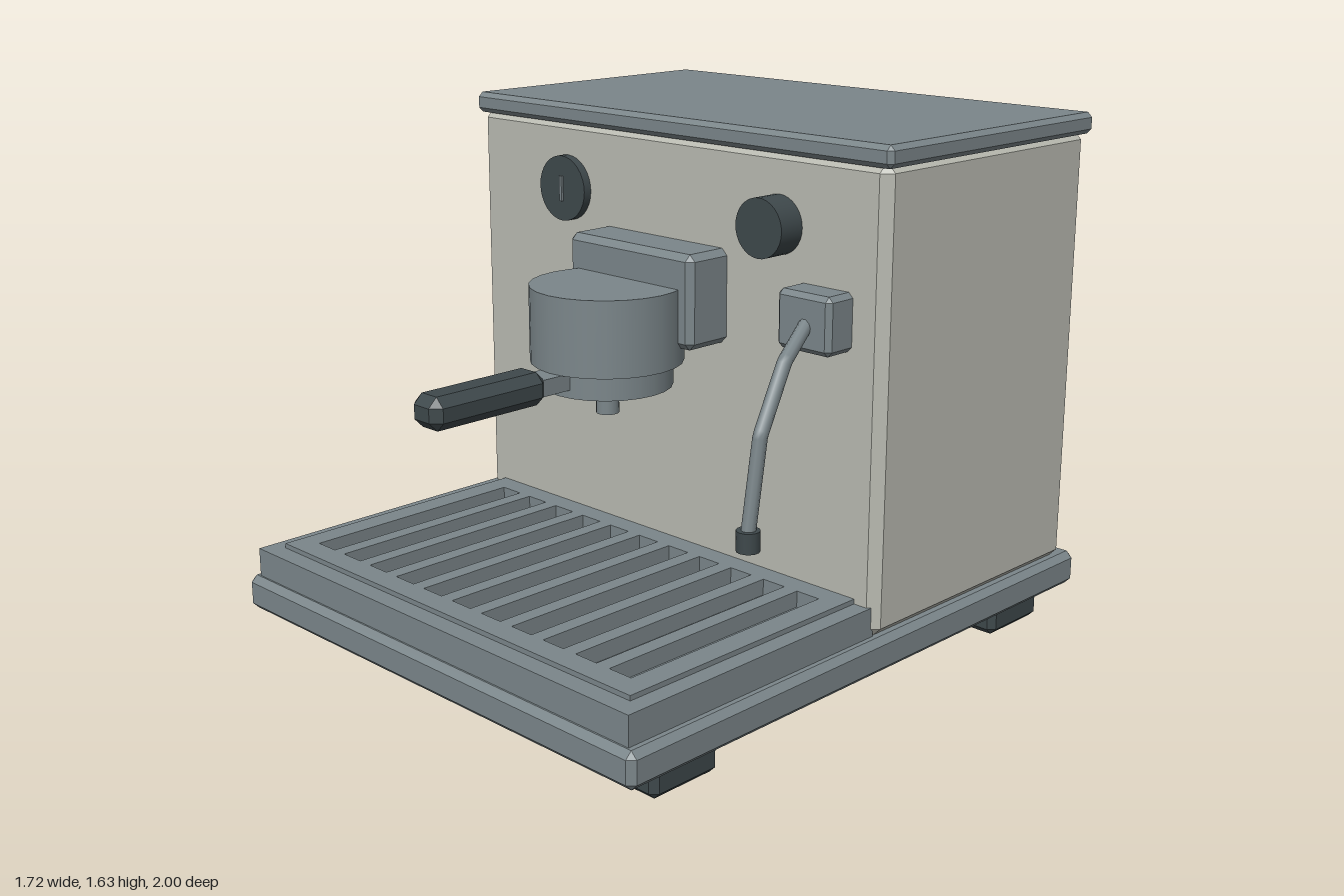
import * as THREE from 'three';
import { ConvexGeometry } from 'three/addons/geometries/ConvexGeometry.js';

const steel = new THREE.MeshStandardMaterial({ color: 0x7b868a });
const enamel = new THREE.MeshStandardMaterial({ color: 0xb9bab1 });
const dark = new THREE.MeshStandardMaterial({ color: 0x3e484b });

// Box between two corners with every edge chamfered by c
function chamferBox([x0, y0, z0], [x1, y1, z1], c) {
  const half = [(x1 - x0) / 2, (y1 - y0) / 2, (z1 - z0) / 2];
  const points = [];
  for (const sx of [-1, 1]) for (const sy of [-1, 1]) for (const sz of [-1, 1]) {
    for (let axis = 0; axis < 3; axis++) {
      const h = half.map((v, i) => (i === axis ? v : v - c));
      points.push(new THREE.Vector3(sx * h[0], sy * h[1], sz * h[2]));
    }
  }
  return new ConvexGeometry(points).translate((x0 + x1) / 2, (y0 + y1) / 2, (z0 + z1) / 2);
}

function box([x0, y0, z0], [x1, y1, z1]) {
  return new THREE.BoxGeometry(x1 - x0, y1 - y0, z1 - z0)
    .translate((x0 + x1) / 2, (y0 + y1) / 2, (z0 + z1) / 2);
}

// Upright cylinder from y0 to y1
function post(r, y0, y1, x, z, sides = 24) {
  return new THREE.CylinderGeometry(r, r, y1 - y0, sides).translate(x, (y0 + y1) / 2, z);
}

// Disc facing forwards, from z0 to z1
function dial(r, z0, z1, x, y) {
  return new THREE.CylinderGeometry(r, r, z1 - z0, 32).rotateX(Math.PI / 2).translate(x, y, (z0 + z1) / 2);
}

// Rectangle in plan, given as x and z ranges
function planRect(path, x0, x1, z0, z1) {
  return path.moveTo(x0, -z1).lineTo(x1, -z1).lineTo(x1, -z0).lineTo(x0, -z0).closePath();
}

// Plan shape raised from y0 to y1
function slab(shape, y0, y1) {
  return new THREE.ExtrudeGeometry(shape, { depth: y1 - y0, bevelEnabled: false })
    .rotateX(-Math.PI / 2).translate(0, y0, 0);
}

export function createModel() {
  const model = new THREE.Group();
  const add = (name, geometry, material, parent = model) => {
    const mesh = new THREE.Mesh(geometry, material);
    mesh.name = name;
    parent.add(mesh);
    return mesh;
  };
  const group = (name) => {
    const g = new THREE.Group();
    g.name = name;
    model.add(g);
    return g;
  };

  // Feet, base and housing
  const feet = group('feet');
  for (const x of [-0.675, 0.675]) for (const z of [0.735, -0.765]) {
    add('foot', chamferBox([x - 0.125, 0, z - 0.125], [x + 0.125, 0.105, z + 0.125], 0.02), dark, feet);
  }
  add('base', chamferBox([-0.86, 0.1, -1], [0.86, 0.21, 1], 0.02), steel);
  add('housing', chamferBox([-0.845, 0.205, -0.94], [0.845, 1.58, 0.02], 0.03), enamel);
  add('lid', chamferBox([-0.86, 1.565, -0.955], [0.86, 1.63, 0.03], 0.015), steel);

  // Drip tray with a raised rim around the slotted grate
  const tray = group('dripTray');
  add('trayFloor', box([-0.825, 0.2, 0], [0.825, 0.265, 0.975]), steel, tray);
  const rim = planRect(new THREE.Shape(), -0.825, 0.825, 0, 0.975);
  rim.holes.push(planRect(new THREE.Path(), -0.77, 0.77, 0.02, 0.915));
  add('trayRim', slab(rim, 0.265, 0.3), steel, tray);
  const grate = planRect(new THREE.Shape(), -0.77, 0.77, 0.02, 0.915);
  for (let i = -5; i <= 5; i++) {
    const x = i * 0.131;
    grate.holes.push(planRect(new THREE.Path(), x - 0.041, x + 0.041, 0.09, 0.84));
  }
  add('grate', slab(grate, 0.265, 0.315), steel, tray);

  // Brew head with filter holder
  const brew = group('brewHead');
  add('brewBlock', chamferBox([-0.26, 0.98, 0], [0.26, 1.265, 0.175], 0.02), steel, brew);
  add('brewCylinder', post(0.23, 0.93, 1.16, 0, 0.26), steel, brew);
  add('filterBasket', post(0.197, 0.855, 0.93, 0, 0.26), steel, brew);
  add('spout', post(0.035, 0.765, 0.86, 0, 0.26, 16), steel, brew);
  add('handleNeck', box([-0.045, 0.88, 0.42], [0.045, 0.93, 0.56]), steel, brew);
  add('handle', chamferBox([-0.06, 0.857, 0.54], [0.06, 0.955, 0.955], 0.028), dark, brew);

  // Gauge and control knob
  const gauge = group('gauge');
  add('gaugeDial', dial(0.103, 0, 0.048, -0.425, 1.365), dark, gauge);
  add('gaugeNeedle', box([-0.43, 1.325, 0.04], [-0.42, 1.405, 0.056]), steel, gauge);
  add('controlKnob', dial(0.087, 0, 0.108, 0.46, 1.365), dark);

  // Steam wand, bent in straight lengths
  const steam = group('steamWand');
  add('steamBlock', chamferBox([0.54, 1.04, 0], [0.735, 1.21, 0.12], 0.015), steel, steam);
  const bends = [[0.64, 1.125, 0.1], [0.69, 1.05, 0.25], [0.71, 0.87, 0.367], [0.705, 0.6, 0.405]]
    .map((p) => new THREE.Vector3(...p));
  const path = new THREE.CurvePath();
  for (let i = 0; i < 3; i++) path.add(new THREE.LineCurve3(bends[i], bends[i + 1]));
  add('wandTube', new THREE.TubeGeometry(path, 40, 0.021, 10), steel, steam);
  add('wandTip', post(0.034, 0.55, 0.61, 0.705, 0.405, 14), dark, steam);

  return model;
}
